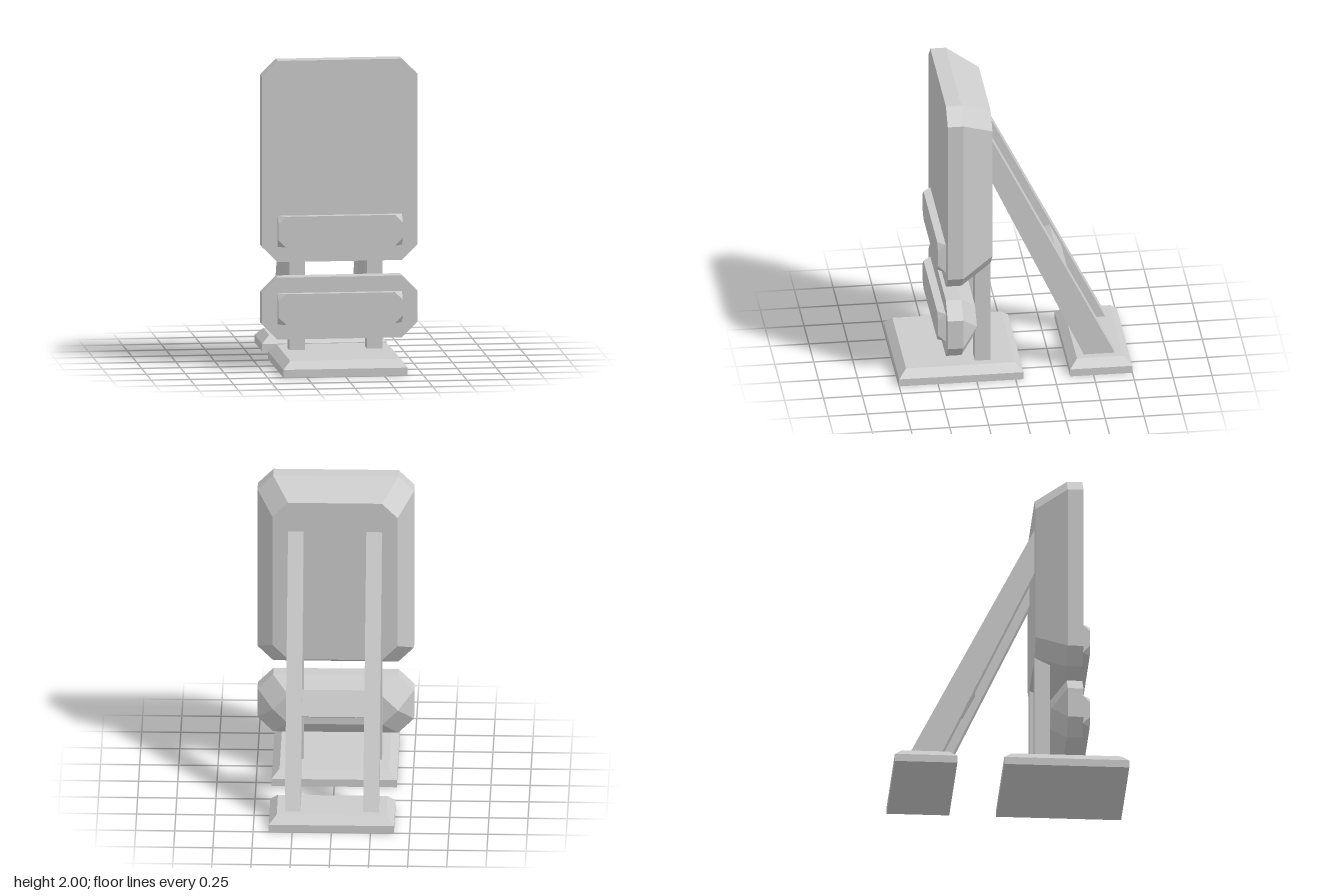
import * as THREE from 'three';

const material = new THREE.MeshStandardMaterial({ color: 0xcccccc, flatShading: true });

// Closed solid through rings of [x, y, z] points, counter-clockwise seen from the last ring
function loft(rings) {
  const positions = [];
  const tri = (...corners) => {
    const [a, b, c] = corners.map((p) => new THREE.Vector3(...p));
    if (new THREE.Triangle(a, b, c).getArea() > 1e-7) positions.push(...corners.flat());
  };
  const first = rings[0], last = rings[rings.length - 1], n = first.length;
  for (let r = 0; r < rings.length - 1; r++) {
    for (let i = 0; i < n; i++) {
      const j = (i + 1) % n;
      const a = rings[r][i], b = rings[r][j], c = rings[r + 1][j], d = rings[r + 1][i];
      tri(a, b, c);
      tri(a, c, d);
    }
  }
  for (let i = 1; i < n - 1; i++) {
    tri(first[0], first[i + 1], first[i]);
    tri(last[0], last[i], last[i + 1]);
  }
  const geometry = new THREE.BufferGeometry();
  geometry.setAttribute('position', new THREE.Float32BufferAttribute(positions, 3));
  geometry.computeVertexNormals();
  return geometry;
}

// Upright rectangle with cut corners at depth z
function octagon(w, y0, y1, cut, z) {
  return [
    [w, y0 + cut, z], [w, y1 - cut, z], [w - cut, y1, z], [cut - w, y1, z],
    [-w, y1 - cut, z], [-w, y0 + cut, z], [cut - w, y0, z], [w - cut, y0, z],
  ];
}

// Flat rectangle at height y
const rectangle = (w, z0, z1, y) => [[w, y, z1], [w, y, z0], [-w, y, z0], [-w, y, z1]];

// Side profile of [z, y] points extended from x0 to x1
const prism = (profile, x0, x1) => loft([x0, x1].map((x) => profile.map(([z, y]) => [x, y, z])));

export function createModel() {
  const model = new THREE.Group();
  model.name = 'paddedStand';
  const add = (name, geometry) => {
    const mesh = new THREE.Mesh(geometry, material);
    mesh.name = name;
    model.add(mesh);
    return mesh;
  };

  // Foot plates with a bevelled upper edge
  const foot = (z0, z1) => loft([
    rectangle(0.4, z0, z1, 0),
    rectangle(0.4, z0, z1, 0.05),
    rectangle(0.35, z0 + 0.05, z1 - 0.05, 0.1),
  ]);
  add('frontFoot', foot(-0.05, 0.75));
  add('rearFoot', foot(-0.75, -0.35));

  // Tall panel and lower block, both tapering to the back
  const panel = (y0, y1, back) => loft([
    octagon(0.4, y0 + 0.1, y1 - 0.1, 0.1, back),
    octagon(0.5, y0, y1, 0.1, 0.35),
    octagon(0.5, y0, y1, 0.1, 0.45),
  ]);
  add('mainPanel', panel(0.7, 2, 0.15));
  add('lowerBlock', panel(0.2, 0.6, 0.25));

  // Front strips with the outer corners cut off
  const strip = (y0) => loft([
    octagon(0.4, y0, y0 + 0.2, 0, 0.45),
    octagon(0.4, y0, y0 + 0.2, 0.05, 0.5),
  ]);
  add('upperStrip', strip(0.8));
  add('lowerStrip', strip(0.3));

  // Upright posts and slanted rear struts on both sides
  const strutProfile = [[0.15, 1.7], [0.15, 1.4], [-0.45, 0.1], [-0.65, 0.1]];
  for (const [side, s] of [['left', 1], ['right', -1]]) {
    add(side + 'Post', new THREE.BoxGeometry(0.1, 0.7, 0.1)).position.set(s * 0.25, 0.45, 0.2);
    add(side + 'Strut', prism(strutProfile, s * 0.25 - 0.05, s * 0.25 + 0.05));
  }

  // Tilted brace between the struts
  add('crossBrace', prism([[-0.2, 0.745], [-0.277, 0.591], [-0.367, 0.636], [-0.29, 0.79]], -0.2, 0.2));

  return model;
}
